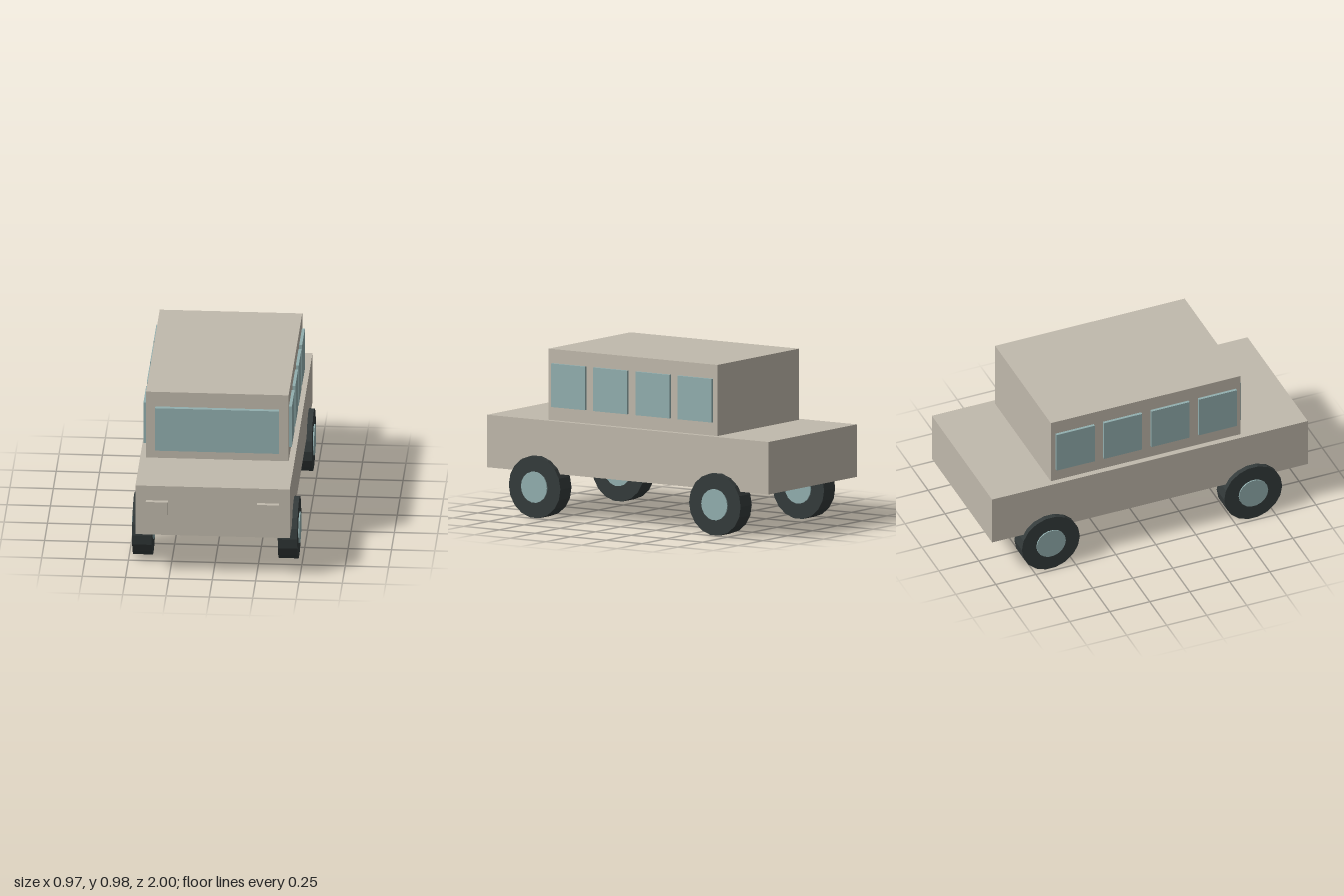
import * as THREE from 'three';

export function createModel() {
  const model = new THREE.Group();
  model.name = 'boxyCar';

  const material = (name, color, flatShading = false) => {
    const m = new THREE.MeshStandardMaterial({ color, flatShading });
    m.name = name;
    return m;
  };
  const paint = material('beigePaint', 0xc0b9ac);
  const teal = material('paleTeal', 0x92afaf, true);
  const rubber = material('darkRubber', 0x343b3b, true);

  // Box given by its limits along each axis
  const box = (name, mat, [x0, x1], [y0, y1], [z0, z1]) => {
    const mesh = new THREE.Mesh(new THREE.BoxGeometry(x1 - x0, y1 - y0, z1 - z0), mat);
    mesh.position.set((x0 + x1) / 2, (y0 + y1) / 2, (z0 + z1) / 2);
    mesh.name = name;
    model.add(mesh);
  };

  // Body and cabin
  box('lowerBody', paint, [-0.445, 0.445], [0.262, 0.567], [-1, 0.972]);
  box('cabin', paint, [-0.411, 0.411], [0.567, 0.98], [-0.619, 0.565]);
  box('windshield', teal, [-0.357, 0.357], [0.623, 0.889], [0.56, 0.592]);

  // Wheel: an 18-sided tyre with a hub showing on both faces
  const tyreGeometry = new THREE.CylinderGeometry(0.181, 0.181, 0.112, 18).rotateZ(Math.PI / 2);
  const hubGeometry = new THREE.CylinderGeometry(0.091, 0.091, 0.126, 18).rotateZ(Math.PI / 2);
  const addWheel = (name, x, z) => {
    const wheel = new THREE.Group();
    wheel.name = name;
    const tyre = new THREE.Mesh(tyreGeometry, rubber);
    tyre.name = 'tyre';
    const hub = new THREE.Mesh(hubGeometry, teal);
    hub.name = 'hub';
    wheel.add(tyre, hub);
    wheel.position.set(x, 0.1785, z);
    model.add(wheel);
  };

  // Parts mirrored on both sides
  for (const [side, s] of [['left', 1], ['right', -1]]) {
    const span = (a, b) => (s > 0 ? [a, b] : [-b, -a]);
    box(`${side}Headlight`, paint, span(0.257, 0.384), [0.396, 0.477], [0.965, 1]);
    for (let i = 0; i < 4; i++) {
      const z = 0.418 - i * 0.296;
      box(`${side}Window${i + 1}`, teal, span(0.405, 0.428), [0.645, 0.898], [z - 0.119, z + 0.119]);
    }
    addWheel(`${side}FrontWheel`, s * 0.42, 0.618);
    addWheel(`${side}RearWheel`, s * 0.42, -0.646);
  }
  return model;
}
